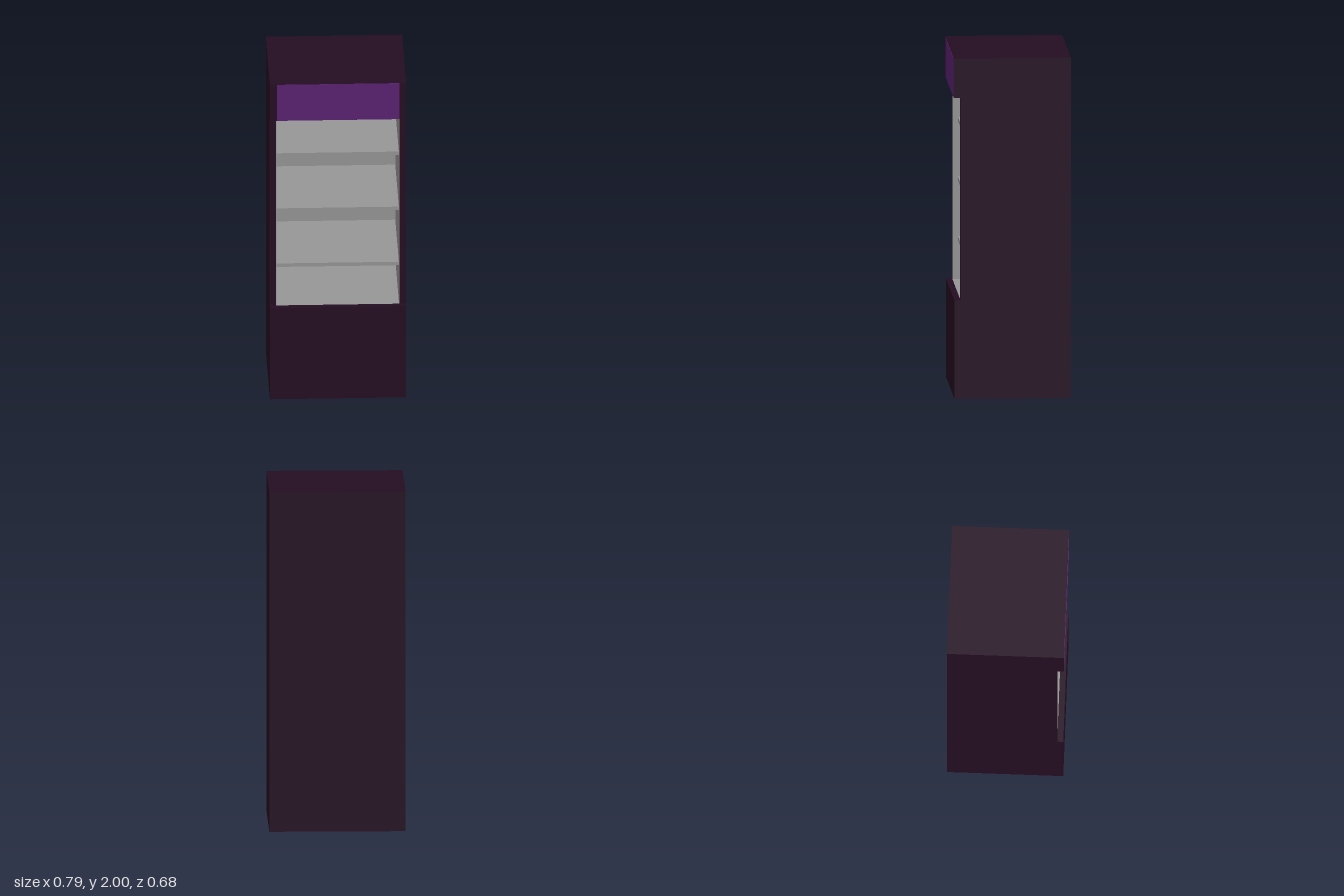
import * as THREE from 'three';

export function createModel() {
  const model = new THREE.Group();
  model.name = 'displayFridge';

  const material = (name, color) => {
    const m = new THREE.MeshStandardMaterial({ color });
    m.name = name;
    return m;
  };
  const dark = material('darkPlum', 0x240d22);
  const purple = material('purple', 0x5b2271);
  const grey = material('grey', 0x969696);

  // Box given by its minimum and maximum corners
  const box = (name, mat, [x0, y0, z0], [x1, y1, z1]) => {
    const mesh = new THREE.Mesh(new THREE.BoxGeometry(x1 - x0, y1 - y0, z1 - z0), mat);
    mesh.position.set((x0 + x1) / 2, (y0 + y1) / 2, (z0 + z1) / 2);
    mesh.name = name;
    model.add(mesh);
  };

  const W = 0.395, inner = 0.355, t = 0.004;
  const back = -0.34, innerBack = -0.325, front = 0.3;
  const low = 0.58, high = 1.77;

  // Cabinet shell
  box('base', dark, [-W, 0, back], [W, low - t, 0.335]);
  box('baseLip', dark, [-W, low - t, front], [W, low, 0.335]);
  box('header', dark, [-W, high + t, back], [W, 2, 0.339]);
  box('headerLip', dark, [-W, high, front], [W, high + t, 0.339]);
  box('backWall', dark, [-W, low - t, back], [W, high + t, innerBack - t]);
  for (const s of [-1, 1]) {
    const xs = [s * (inner + t), s * W].sort((a, b) => a - b);
    const ls = [s * inner, s * (inner + t)].sort((a, b) => a - b);
    box('sideWall', dark, [xs[0], low - t, innerBack - t], [xs[1], high + t, front]);
    box('sideLining', grey, [ls[0], low, innerBack], [ls[1], high, front - 0.001]);
  }

  // Sign panel set on the header
  box('headerPanel', purple, [-inner, high + 0.001, 0.337], [inner, 1.999, 0.341]);

  // Interior lining
  box('backLining', grey, [-inner, low, innerBack - t], [inner, high, innerBack]);
  box('floorLining', grey, [-inner, low - t, innerBack], [inner, low, front]);
  box('ceilingLining', grey, [-inner, high, innerBack], [inner, high + t, front]);

  // Three evenly spaced shelves
  for (let i = 0; i < 3; i++) {
    const y = 0.81 + i * 0.35;
    box('shelf', grey, [-inner, y, innerBack], [inner, y + 0.022, 0.268]);
  }

  return model;
}
